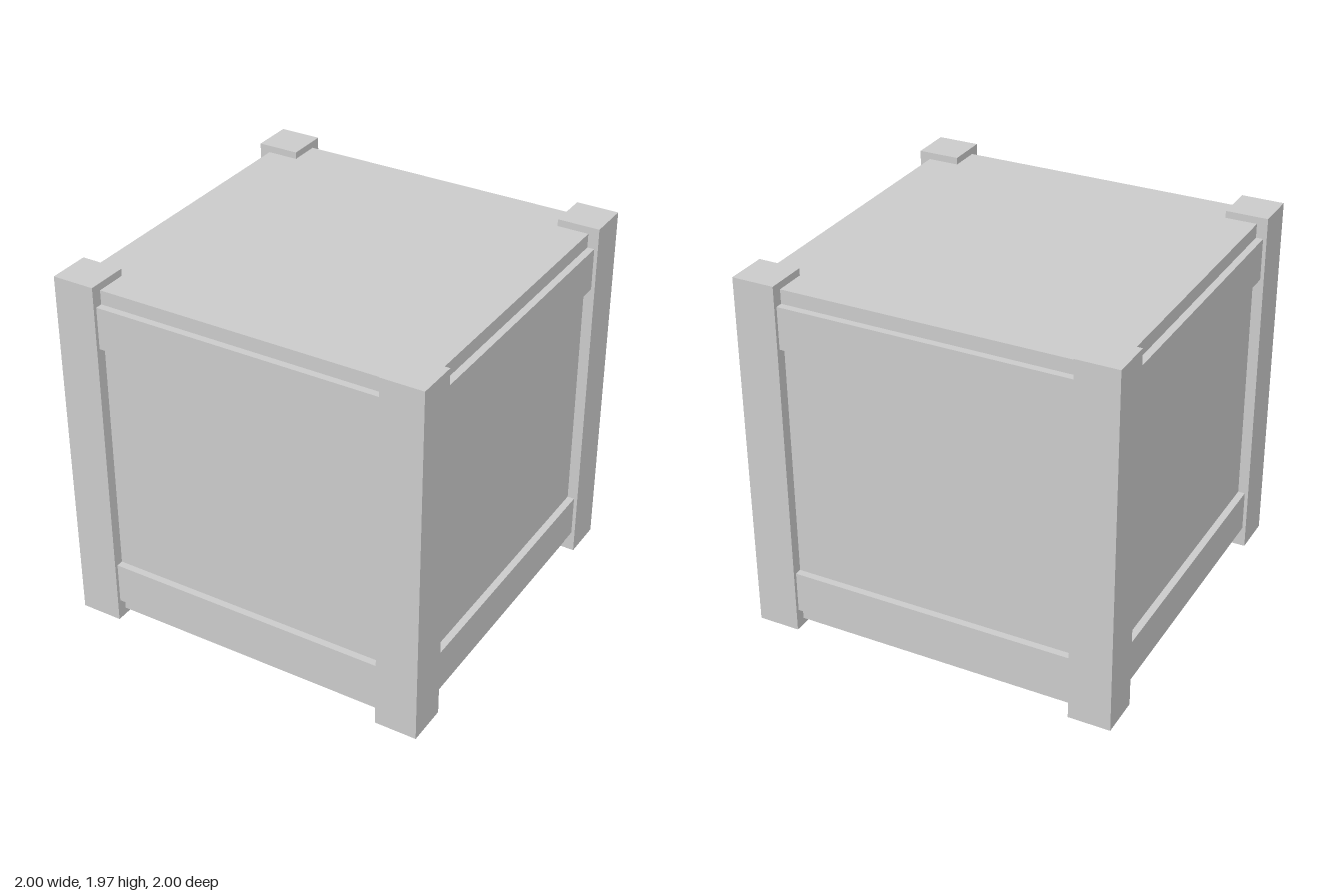
import * as THREE from 'three';

export function createModel() {
  const group = new THREE.Group();
  group.name = 'crate';
  const material = new THREE.MeshStandardMaterial({ color: 0xcccccc, flatShading: true });

  const addBox = (name, parent, [w, h, d], [x, y, z]) => {
    const mesh = new THREE.Mesh(new THREE.BoxGeometry(w, h, d), material);
    mesh.name = name;
    mesh.position.set(x, y, z);
    parent.add(mesh);
  };

  const height = 1.965, mid = height / 2;
  const post = 0.226, postAt = 1 - post / 2;
  const bodyHalf = 0.943, railHalf = 0.981;

  // Closed box, raised slightly off the ground
  addBox('body', group, [bodyHalf * 2, 1.89, bodyHalf * 2], [0, mid, 0]);

  // Square corner posts, standing proud of the body at top and bottom
  for (const sx of [-1, 1]) {
    for (const sz of [-1, 1]) {
      addBox('cornerPost', group, [post, height, post], [sx * postAt, mid, sz * postAt]);
    }
  }

  // Upper and lower rails on each of the four sides, running between the posts
  const railLength = 2 * (1 - post);
  const railDepth = railHalf - bodyHalf;
  for (let i = 0; i < 4; i++) {
    const side = new THREE.Group();
    side.name = 'sideRails';
    side.rotation.y = i * Math.PI / 2;
    for (const [name, s] of [['lowerRail', -1], ['upperRail', 1]]) {
      addBox(name, side, [railLength, 0.226, railDepth], [0, mid + s * 0.757, bodyHalf + railDepth / 2]);
    }
    group.add(side);
  }

  return group;
}
